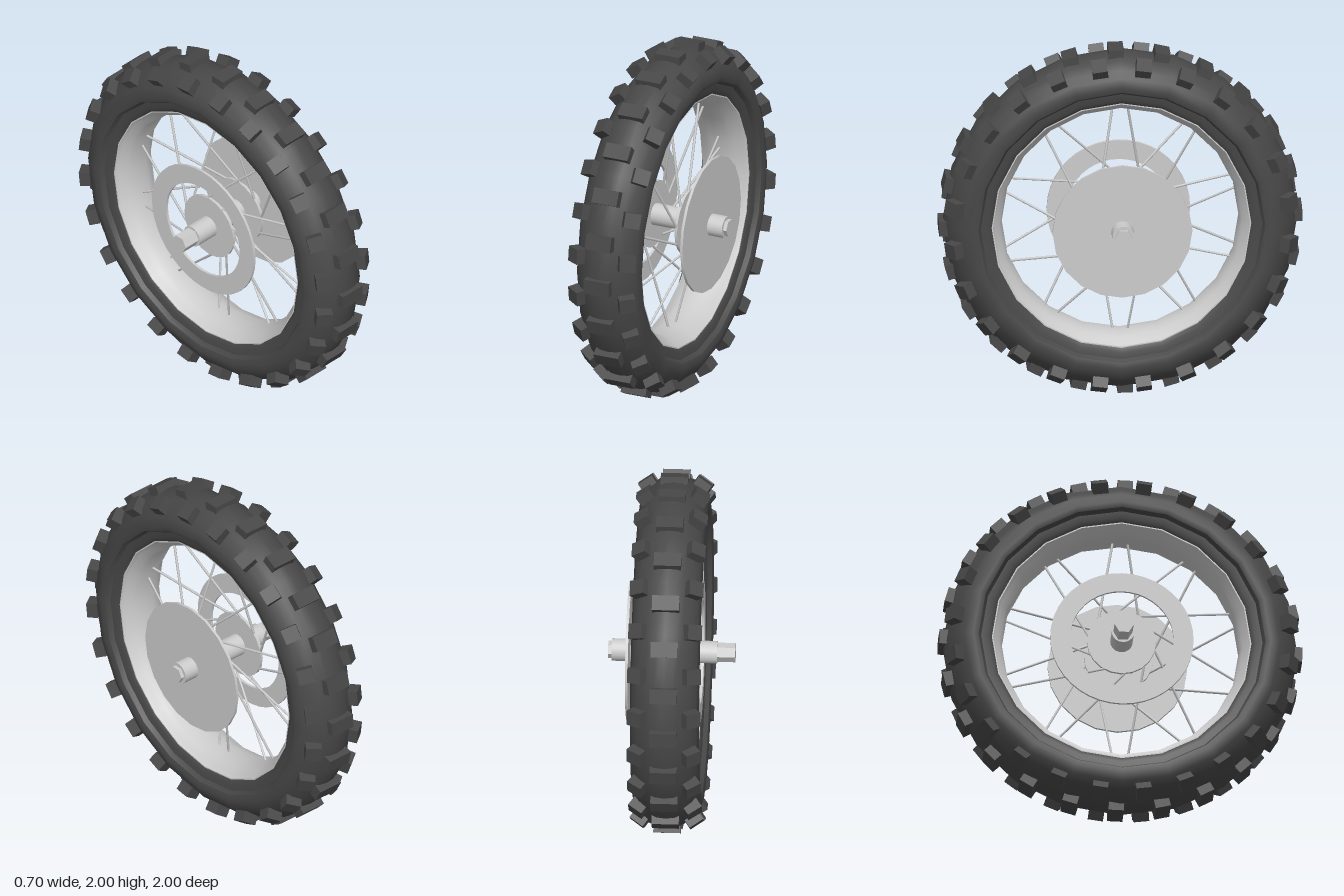
import * as THREE from 'three';
import { toCreasedNormals } from 'three/addons/utils/BufferGeometryUtils.js';

const rubber = new THREE.MeshStandardMaterial({ color: 0x484848 });
const metal = new THREE.MeshStandardMaterial({ color: 0xcccccc });
const SIDES = 20;

export function createModel() {
  const root = new THREE.Group();
  root.name = 'spokedWheel';
  const wheel = new THREE.Group();
  wheel.name = 'wheel';
  wheel.position.y = 1;
  root.add(wheel);

  const add = (name, geometry, material, parent = wheel) => {
    const mesh = new THREE.Mesh(geometry, material);
    mesh.name = name;
    parent.add(mesh);
    return mesh;
  };

  // Revolves a half section of [x, radius] points, mirrored in x, about the axle
  const revolve = (name, outer, inner, material) => {
    const mirror = (pts) => pts.filter((p) => p[0] > 0).map(([x, r]) => [-x, r]).reverse();
    const up = [...mirror(outer), ...outer];
    const down = [...mirror(inner), ...inner].reverse();
    const section = [...up, ...down, up[0]].map(([x, r]) => new THREE.Vector2(r, x));
    const geometry = new THREE.LatheGeometry(section, SIDES).rotateZ(-Math.PI / 2);
    geometry.rotateX(Math.PI / 2);
    return add(name, toCreasedNormals(geometry, 0.65), material);
  };

  // Cylinder lying along x between two positions
  const axial = (name, x0, x1, radius, sides = SIDES) => {
    const geometry = new THREE.CylinderGeometry(radius, radius, x1 - x0, sides).rotateZ(-Math.PI / 2);
    geometry.translate((x0 + x1) / 2, 0, 0);
    return add(name, toCreasedNormals(geometry, 0.6), metal);
  };

  // Tyre carcass with stepped beads, and the dished rim inside it
  revolve('tyre',
    [[0, 0.978], [0.05, 0.972], [0.1, 0.948], [0.145, 0.91], [0.175, 0.87], [0.19, 0.82],
      [0.18, 0.79], [0.155, 0.775], [0.15, 0.74], [0.14, 0.715]],
    [[0, 0.7], [0.12, 0.7]], rubber);
  revolve('rim',
    [[0, 0.71], [0.14, 0.725]],
    [[0, 0.652], [0.05, 0.656], [0.09, 0.67], [0.12, 0.695], [0.14, 0.708]], metal);

  // Tread: a centre row and two tilted shoulder rows, half a step apart
  const centreBlock = new THREE.BoxGeometry(0.15, 0.06, 0.085);
  const shoulderBlock = new THREE.BoxGeometry(0.09, 0.06, 0.085);
  const step = Math.PI / 12;
  for (let i = 0; i < 24; i++) {
    const centre = new THREE.Group();
    centre.name = 'centreTread';
    centre.rotation.x = i * step + 0.025;
    add('centreTreadBlock', centreBlock, rubber, centre).position.y = 0.97;
    wheel.add(centre);

    const shoulders = new THREE.Group();
    shoulders.name = 'shoulderTread';
    shoulders.rotation.x = (i + 0.5) * step;
    for (const side of [-1, 1]) {
      const block = add('shoulderTreadBlock', shoulderBlock, rubber, shoulders);
      block.position.set(side * 0.149, 0.929, 0);
      block.rotation.z = -side * 0.61;
    }
    wheel.add(shoulders);
  }

  // Hub barrel, flanges and axle ends
  axial('hubBarrel', -0.25, 0.33, 0.062);
  axial('axleNut', 0.33, 0.35, 0.048, 6);
  axial('axleHexEnd', -0.35, -0.25, 0.053, 6);
  for (const side of [-1, 1]) axial('hubFlange', side * 0.11 - 0.008, side * 0.11 + 0.008, 0.19);

  // Solid disc on the left side
  axial('solidDisc', 0.225, 0.24, 0.385);

  // Open brake ring on the right side
  const ringShape = new THREE.Shape().absarc(0, 0, 0.395, 0, Math.PI * 2, false);
  ringShape.holes.push(new THREE.Path().absarc(0, 0, 0.285, 0, Math.PI * 2, true));
  const ring = new THREE.ExtrudeGeometry(ringShape, { depth: 0.015, bevelEnabled: false, curveSegments: SIDES });
  ring.rotateY(Math.PI / 2).translate(-0.165, 0, 0);
  add('brakeRing', toCreasedNormals(ring, 0.6), metal);

  // Ten pairs of spokes, splayed from the rim to opposite hub flanges
  const polar = (x, r, a) => new THREE.Vector3(x, r * Math.cos(a), r * Math.sin(a));
  const upAxis = new THREE.Vector3(0, 1, 0);
  for (let i = 0; i < 10; i++) {
    for (const side of [-1, 1]) {
      const a = (i * Math.PI) / 5;
      const from = polar(side * 0.11, 0.18, a + side * 0.78);
      const to = polar(0, 0.662, a + side * 0.06);
      const dir = to.clone().sub(from);
      const spoke = add('spoke', new THREE.CylinderGeometry(0.007, 0.007, dir.length(), 6), metal);
      spoke.position.copy(from).add(to).multiplyScalar(0.5);
      spoke.quaternion.setFromUnitVectors(upAxis, dir.normalize());
    }
  }
  return root;
}
